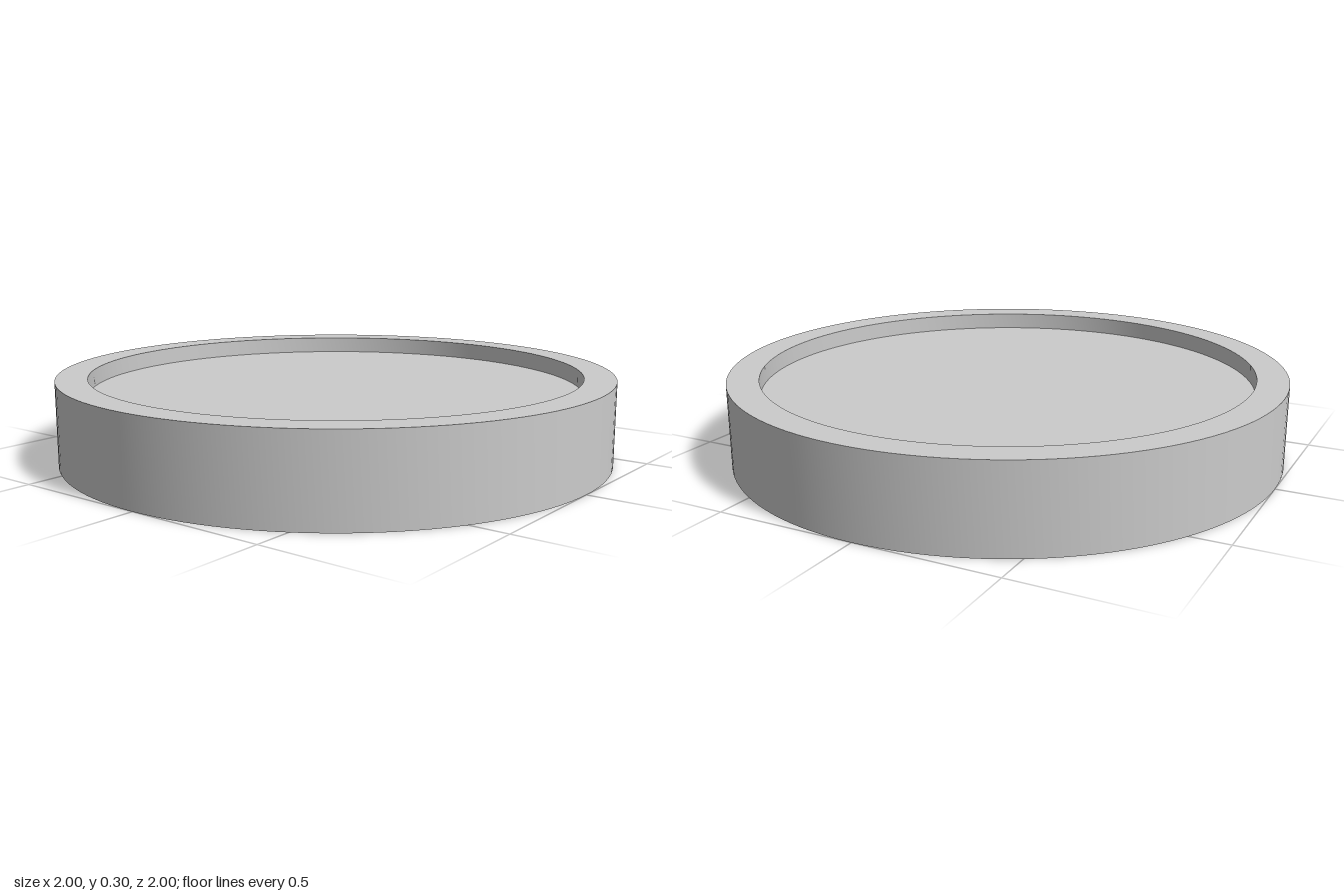
import * as THREE from 'three';
import { toCreasedNormals } from 'three/addons/utils/BufferGeometryUtils.js';

const RADIUS = 1, HEIGHT = 0.3;
const RECESS_RADIUS = 0.888, RECESS_DEPTH = 0.062;

export function createModel() {
  const model = new THREE.Group();
  model.name = 'roundTray';

  // Half section: underside, outer wall, flat rim, recess wall, recess floor
  const floorY = HEIGHT - RECESS_DEPTH;
  const profile = [
    [0, 0],
    [RADIUS, 0],
    [RADIUS, HEIGHT],
    [RECESS_RADIUS, HEIGHT],
    [RECESS_RADIUS, floorY],
    [0, floorY],
  ].map(([r, y]) => new THREE.Vector2(r, y));

  // Smooth around the walls, sharp at the edges
  const geometry = toCreasedNormals(new THREE.LatheGeometry(profile, 128), Math.PI / 6);
  const tray = new THREE.Mesh(geometry, new THREE.MeshStandardMaterial({ color: 0xcccccc }));
  tray.name = 'recessedDisc';
  model.add(tray);

  return model;
}
